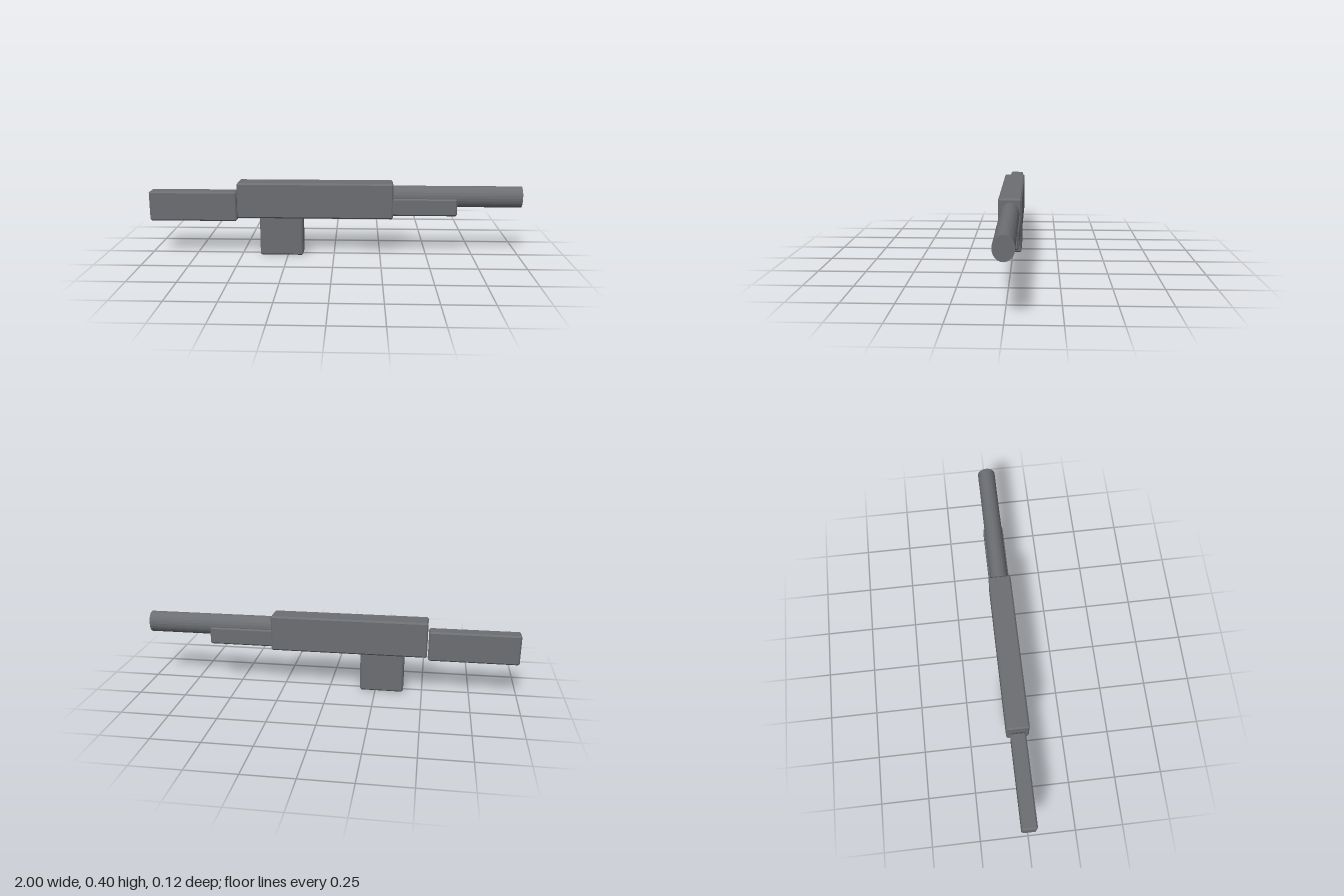
import * as THREE from 'three';
import { ConvexGeometry } from 'three/addons/geometries/ConvexGeometry.js';

// Box between two corners with a flat chamfer of size c on every edge
function chamferedBox([x0, x1], [y0, y1], halfZ, c) {
  const half = [(x1 - x0) / 2, (y1 - y0) / 2, halfZ];
  const points = [];
  for (const sx of [-1, 1]) for (const sy of [-1, 1]) for (const sz of [-1, 1]) {
    for (let outer = 0; outer < 3; outer++) {
      const [x, y, z] = half.map((h, i) => (i === outer ? h : h - c));
      points.push(new THREE.Vector3(sx * x, sy * y, sz * z));
    }
  }
  const geometry = new ConvexGeometry(points);
  geometry.translate((x0 + x1) / 2, (y0 + y1) / 2, 0);
  return geometry;
}

export function createModel() {
  const model = new THREE.Group();
  const gunmetal = new THREE.MeshStandardMaterial({ color: 0x6c6e72 });
  gunmetal.name = 'gunmetal grey';
  gunmetal.flatShading = true;

  const add = (name, geometry) => {
    const mesh = new THREE.Mesh(geometry, gunmetal);
    mesh.name = name;
    model.add(mesh);
  };

  // Chamfered blocks: x range, y range, half depth
  const c = 0.008;
  add('receiver', chamferedBox([-0.52, 0.316], [0.208, 0.4], 0.059, c));
  add('stock', chamferedBox([-1, -0.525], [0.185, 0.347], 0.039, c));
  add('grip', chamferedBox([-0.4, -0.167], [0, 0.222], 0.048, c));
  add('handguard', chamferedBox([0.29, 0.656], [0.226, 0.32], 0.054, c));

  // Barrel: an oval rod along x, taller than it is deep
  const barrel = new THREE.CylinderGeometry(1, 1, 0.72, 24);
  barrel.rotateZ(-Math.PI / 2);
  barrel.scale(1, 0.057, 0.048);
  barrel.translate(0.64, 0.324, 0);
  add('barrel', barrel);

  return model;
}
